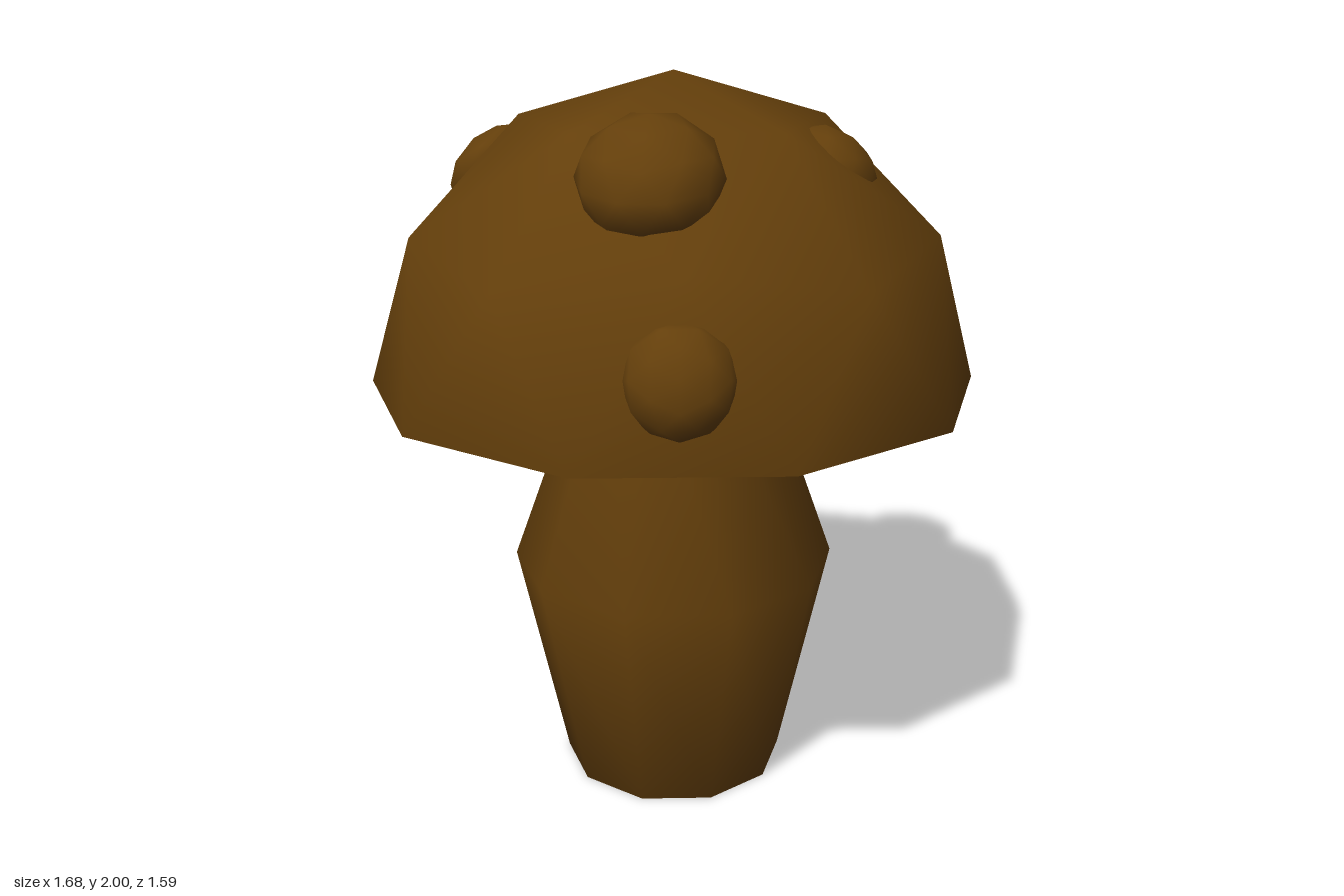
import * as THREE from 'three';
import { mergeVertices } from 'three/addons/utils/BufferGeometryUtils.js';

// Weld shared corners so the low-poly surface shades smoothly
function smooth(geometry) {
  geometry.deleteAttribute('normal');
  geometry.deleteAttribute('uv');
  const welded = mergeVertices(geometry, 1e-4);
  welded.computeVertexNormals();
  return welded;
}

export function createModel() {
  const group = new THREE.Group();
  const brown = new THREE.MeshStandardMaterial({ color: 0x643f0b });
  brown.name = 'brown';

  const add = (name, geometry) => {
    const mesh = new THREE.Mesh(geometry, brown);
    mesh.name = name;
    group.add(mesh);
    return mesh;
  };

  // Stem: ten sides, widest in the middle, closed at the foot
  const profile = [[0, 0], [0.318, 0], [0.457, 0.64], [0.218, 1.3]].map(([r, y]) => new THREE.Vector2(r, y));
  add('stem', smooth(new THREE.LatheGeometry(profile, 10, Math.PI / 2)));

  // Cap: icosphere with a corner on top, lower half pushed up into a shallow hollow
  const capRadius = 0.838;
  const capBase = 1.163;
  const dome = new THREE.IcosahedronGeometry(capRadius, 1);
  dome.rotateX(-Math.atan((1 + Math.sqrt(5)) / 2));
  const p = dome.attributes.position;
  for (let i = 0; i < p.count; i++) {
    if (p.getY(i) < -0.001) p.setY(i, p.getY(i) * -0.1);
  }
  add('cap', smooth(dome)).position.y = capBase;

  // Spots: slightly flattened balls sunk in the cap, facing outward
  // [centre relative to the cap base], [half width, half height, half depth]
  const spots = [
    [[-0.335, 0.625, 0.345], [0.18, 0.18, 0.13]],
    [[-0.44, 0.21, 0.595], [0.135, 0.14, 0.09]],
    [[0.54, 0.53, -0.118], [0.19, 0.18, 0.14]],
    [[0.236, 0.582, 0.335], [0.15, 0.145, 0.12]],
    [[-0.23, 0.545, -0.515], [0.165, 0.155, 0.105]],
  ];
  const ball = smooth(new THREE.IcosahedronGeometry(1, 1));
  const up = new THREE.Vector3(0, 1, 0);
  spots.forEach(([centre, size], i) => {
    const spot = add('spot' + (i + 1), ball);
    const out = new THREE.Vector3(...centre).normalize();
    const side = new THREE.Vector3().crossVectors(up, out).normalize();
    const rise = new THREE.Vector3().crossVectors(out, side);
    spot.quaternion.setFromRotationMatrix(new THREE.Matrix4().makeBasis(side, rise, out));
    spot.scale.set(...size);
    spot.position.set(centre[0], centre[1] + capBase, centre[2]);
  });

  return group;
}
